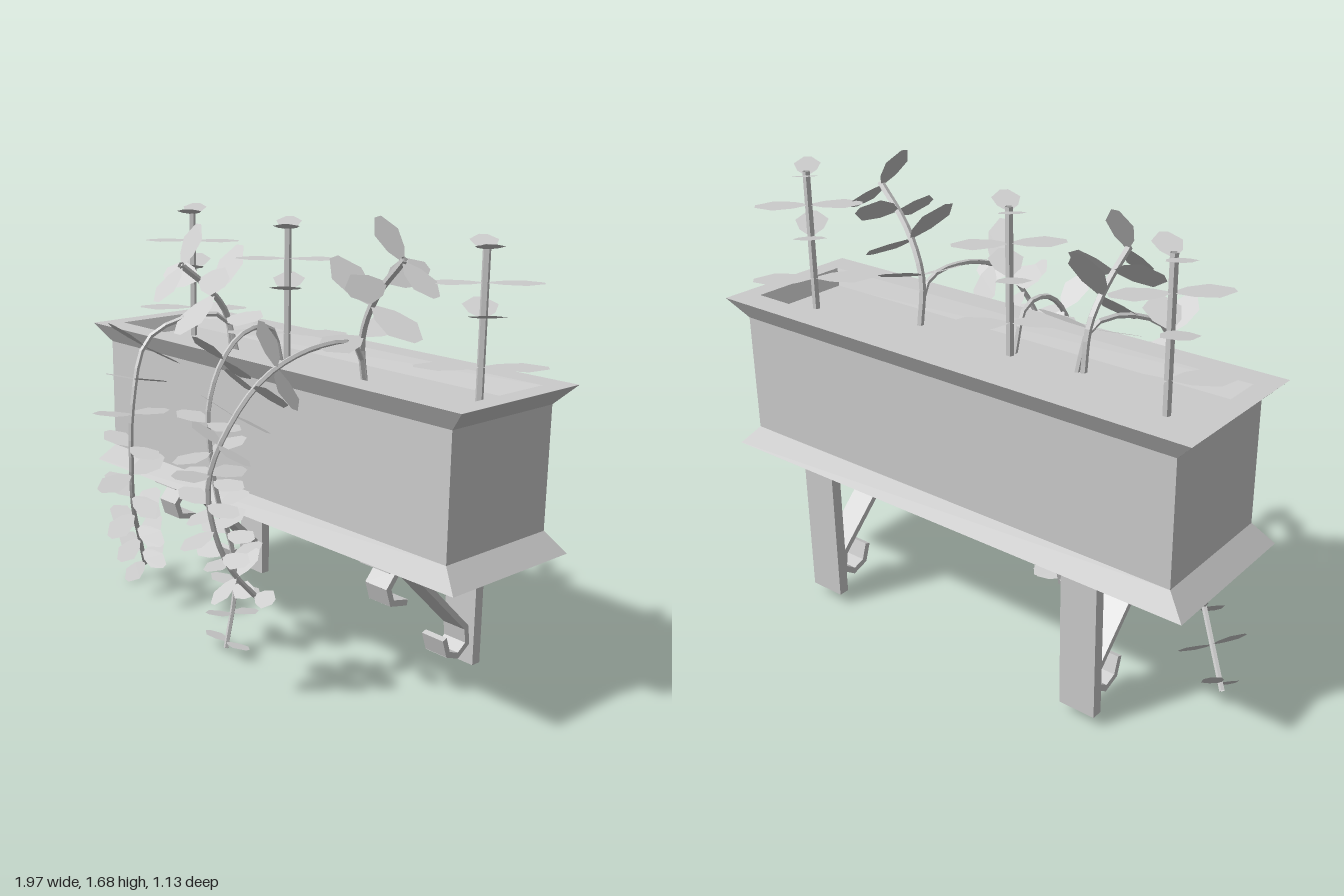
import * as THREE from 'three';
import { mergeGeometries } from 'three/addons/utils/BufferGeometryUtils.js';

const solid = new THREE.MeshStandardMaterial({ color: 0xcccccc, flatShading: true });
const thin = new THREE.MeshStandardMaterial({ color: 0xcccccc, flatShading: true, side: THREE.DoubleSide });
const V = (p) => new THREE.Vector3(...p);

function addMesh(parent, name, geometry, material = solid) {
  const mesh = new THREE.Mesh(geometry, material);
  mesh.name = name;
  parent.add(mesh);
  return mesh;
}

// Skin through rectangular rings, each [half width, half depth, height]
function rectangleLoft(rings) {
  const pos = [], index = [];
  for (const [w, d, y] of rings) pos.push(-w, y, d, w, y, d, w, y, -d, -w, y, -d);
  for (let r = 0; r < rings.length - 1; r++) {
    for (let j = 0; j < 4; j++) {
      const a = r * 4 + j, b = r * 4 + (j + 1) % 4;
      index.push(a, b, b + 4, a, b + 4, a + 4);
    }
  }
  const g = new THREE.BufferGeometry();
  g.setAttribute('position', new THREE.Float32BufferAttribute(pos, 3));
  g.setIndex(index);
  const flat = g.toNonIndexed();
  flat.computeVertexNormals();
  return flat;
}

// Flat leaf, one unit long along +x, facing +y
function leafGeometry() {
  const s = new THREE.Shape();
  [[0, -0.03], [0.28, -0.23], [0.66, -0.32], [1, -0.09], [1, 0.09], [0.66, 0.32], [0.28, 0.23], [0, 0.03]]
    .forEach(([x, y], i) => (i ? s.lineTo(x, y) : s.moveTo(x, y)));
  return new THREE.ShapeGeometry(s).rotateX(-Math.PI / 2);
}

// Leaves around a point of the stem; a positive tilt leans them towards its tip
function leafRing(curve, t, size, angles, tilt) {
  const p = curve.getPointAt(t), T = curve.getTangentAt(t);
  const X = new THREE.Vector3(1, 0, 0);
  const U = X.addScaledVector(T, -X.dot(T)).normalize();
  const W = new THREE.Vector3().crossVectors(U, T);
  return angles.map((a) => {
    const out = U.clone().multiplyScalar(Math.cos(a)).addScaledVector(W, Math.sin(a));
    const dir = out.clone().multiplyScalar(Math.cos(tilt)).addScaledVector(T, Math.sin(tilt));
    const up = T.clone().multiplyScalar(Math.cos(tilt)).addScaledVector(out, -Math.sin(tilt));
    const side = new THREE.Vector3().crossVectors(dir, up);
    const m = new THREE.Matrix4().makeBasis(dir, up, side).scale(new THREE.Vector3(size, size, size));
    return leafGeometry().applyMatrix4(m.setPosition(p));
  });
}

// Stem along the points, with rings of leaves [position, size, angles, tilt]
function plant(parent, name, points, radius, rings) {
  const group = new THREE.Group();
  group.name = name;
  const curve = new THREE.CatmullRomCurve3(points.map(V));
  addMesh(group, 'stem', new THREE.TubeGeometry(curve, points.length * 3, radius, 5), thin);
  addMesh(group, 'leaves', mergeGeometries(rings.flatMap((ring) => leafRing(curve, ...ring))), thin);
  parent.add(group);
}

// Wall bracket: back plate, shelf plate and a scrolled brace
function bracket(parent, name, x) {
  const group = new THREE.Group();
  group.name = name;
  addMesh(group, 'backPlate', new THREE.BoxGeometry(0.14, 0.52, 0.04)).position.set(0, 0.29, -0.5);
  addMesh(group, 'shelfPlate', new THREE.BoxGeometry(0.14, 0.04, 0.46)).position.set(0, 0.53, -0.25);
  const scroll = [[-0.13, 0.37], [-0.06, 0.385], [-0.042, 0.44], [-0.085, 0.49], [-0.15, 0.485],
    [-0.46, 0.18], [-0.47, 0.115], [-0.42, 0.08], [-0.365, 0.1], [-0.345, 0.16]];
  const bars = [];
  for (let i = 0; i < scroll.length - 1; i++) {
    const [z0, y0] = scroll[i], [z1, y1] = scroll[i + 1];
    const bar = new THREE.BoxGeometry(0.1, 0.022, Math.hypot(z1 - z0, y1 - y0) + 0.012);
    bar.rotateX(-Math.atan2(y1 - y0, z1 - z0));
    bars.push(bar.translate(0, (y0 + y1) / 2, (z0 + z1) / 2));
  }
  addMesh(group, 'scrollBrace', mergeGeometries(bars));
  group.position.x = x;
  parent.add(group);
}

export function createModel() {
  const model = new THREE.Group();
  model.name = 'wallPlanter';

  // Trough with flared foot and rim, and the soil inside
  const trough = addMesh(model, 'trough', rectangleLoft([
    [0, 0, 0.547], [0.985, 0.293, 0.547], [0.915, 0.25, 0.62], [0.915, 0.25, 1.063],
    [0.985, 0.293, 1.135], [0.91, 0.195, 1.135], [0.88, 0.17, 1.07],
  ]));
  trough.position.set(0.012, 0, -0.252);
  const soil = addMesh(model, 'soil', new THREE.PlaneGeometry(1.77, 0.35).rotateX(-Math.PI / 2));
  soil.position.set(0.012, 1.075, -0.252);

  bracket(model, 'rightBracket', -0.58);
  bracket(model, 'leftBracket', 0.6);

  // Opposite pairs of leaves, as angles around the stem
  const pair = (a) => [a, a + Math.PI];
  const sideways = pair(0), foreAft = pair(Math.PI / 2);
  const diagonal = pair(Math.PI / 4), otherDiagonal = pair(-Math.PI / 4);

  // Upright plants: raised pairs alternate with level ones
  for (const [x, z] of [[-0.74, -0.3], [-0.07, -0.22], [0.78, -0.305]]) {
    plant(model, 'uprightPlant', [[x, 1.06, z], [x, 1.3, z], [x, 1.59, z]], 0.014, [
      [0.97, 0.15, diagonal, 0.22], [0.77, 0.19, otherDiagonal, 0],
      [0.55, 0.19, diagonal, 0.22], [0.25, 0.22, otherDiagonal, 0],
    ]);
  }

  // Leaning plants
  const leaningRings = (first, second) => [
    [0.98, 0.17, first, 0.15], [0.78, 0.19, second, 0.1], [0.58, 0.22, first, 0.15], [0.34, 0.2, second, 0.1],
  ];
  plant(model, 'forwardLeaningPlant',
    [[-0.35, 1.06, -0.19], [-0.35, 1.23, -0.16], [-0.35, 1.34, -0.07], [-0.35, 1.44, 0.06]], 0.013,
    leaningRings(foreAft, sideways));
  plant(model, 'sideLeaningPlant',
    [[0.36, 1.06, -0.2], [0.37, 1.24, -0.17], [0.46, 1.4, -0.14], [0.6, 1.54, -0.12]], 0.013,
    leaningRings(sideways, foreAft));

  // Trailing vines with crossed pairs of leaves, smaller towards the tip
  const vineRings = (count, first, second) => Array.from({ length: count }, (_, i) =>
    [0.985 - i * 0.07, 0.12 + i * 0.006, i % 2 ? second : first, -0.05]);
  plant(model, 'rightVine', [[-0.33, 1.06, -0.2], [-0.35, 1.22, -0.15], [-0.4, 1.23, 0], [-0.46, 1.15, 0.14],
    [-0.45, 0.92, 0.22], [-0.47, 0.69, 0.22], [-0.58, 0.46, 0.14], [-0.72, 0.28, 0.02], [-0.92, 0.04, -0.15]],
  0.01, vineRings(11, foreAft, sideways));
  plant(model, 'middleVine', [[-0.07, 1.06, -0.2], [-0.07, 1.22, -0.14], [-0.06, 1.22, 0], [-0.05, 1.13, 0.11],
    [-0.05, 0.98, 0.17], [-0.055, 0.8, 0.16], [-0.06, 0.6, 0.12], [-0.06, 0.42, 0.06], [-0.065, 0.24, 0.04],
    [-0.065, 0.01, 0.085]],
  0.01, [...vineRings(9, sideways, foreAft), [0.28, 0.16, foreAft, 0]]);
  plant(model, 'leftVine', [[0.36, 1.06, -0.2], [0.37, 1.22, -0.14], [0.37, 1.24, 0.05], [0.36, 1.17, 0.26],
    [0.33, 1.03, 0.38], [0.28, 0.84, 0.435], [0.26, 0.65, 0.4], [0.26, 0.48, 0.32], [0.28, 0.36, 0.22]],
  0.01, vineRings(10, sideways, foreAft));

  return model;
}
